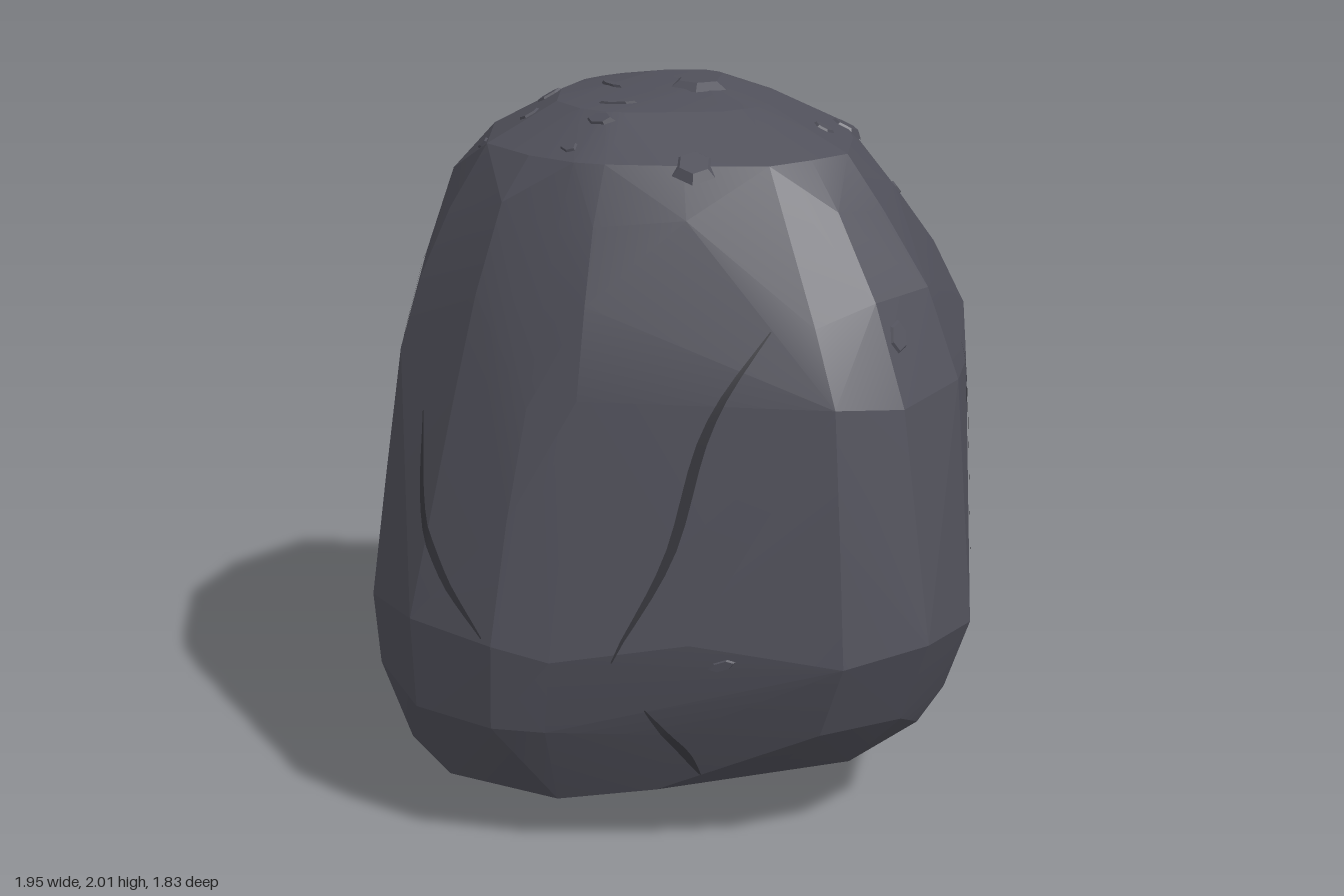
import * as THREE from 'three';
import { toCreasedNormals } from 'three/addons/utils/BufferGeometryUtils.js';
import { ConvexGeometry } from 'three/addons/geometries/ConvexGeometry.js';

const stone = new THREE.MeshStandardMaterial({ color: 0x50505a });
stone.name = 'stone';
const crevice = new THREE.MeshStandardMaterial({ color: 0x36363c, side: THREE.DoubleSide });
crevice.name = 'crevice';

// Plan of the widest section: a diamond with blunt corners, [x, z]
const plan = [
  [0.97, 0], [0.89, 0.24], [0.6, 0.52], [0.33, 0.77], [0.2, 0.86], [-0.07, 0.92], [-0.39, 0.81],
  [-0.73, 0.48], [-0.95, 0.13], [-0.98, -0.08], [-0.91, -0.32], [-0.6, -0.62], [-0.3, -0.87],
  [0.1, -0.92], [0.37, -0.82], [0.64, -0.54], [0.9, -0.25],
];

// Cross-sections from bottom to top: [y, min x, max x, min z, max z, corner fullness]
const sections = [
  [0.38, -0.945, 0.88, -0.90, 0.91, 0],
  [0.62, -0.98, 0.97, -0.91, 0.92, 0],
  [0.92, -0.96, 0.92, -0.90, 0.84, 0.01],
  [1.25, -0.92, 0.86, -0.88, 0.745, 0.03],
  [1.48, -0.82, 0.75, -0.75, 0.665, 0.05],
  [1.70, -0.69, 0.61, -0.58, 0.575, 0.07],
  [1.85, -0.52, 0.51, -0.43, 0.49, 0.08],
  [1.955, -0.34, 0.28, -0.25, 0.33, 0.05],
  [2.00, -0.12, 0.11, -0.14, 0.02, 0],
];

// Lower rim, low at the front and arching up round the back, [x, y, z]
const rim = [
  [0.74, 0.22, 0.05], [0.66, 0.24, 0.25], [0.45, 0.18, 0.5], [0.25, 0.14, 0.68], [-0.07, 0.14, 0.8],
  [-0.35, 0.13, 0.72], [-0.65, 0.13, 0.42], [-0.83, 0.13, 0.12], [-0.85, 0.2, -0.1], [-0.82, 0.31, -0.33],
  [-0.57, 0.35, -0.59], [-0.3, 0.31, -0.8], [0.08, 0.27, -0.83], [0.34, 0.31, -0.74], [0.6, 0.34, -0.5],
  [0.78, 0.28, -0.18],
];
// Foot on which the rock rests
const foot = [
  [-0.5, 0, 0.42], [-0.28, 0.02, 0.56], [-0.5, 0, 0.05], [-0.42, 0.01, -0.2], [-0.72, 0.07, 0.15],
  [0, 0.04, 0.45], [0, 0.05, -0.2],
];

function boulderGeometry() {
  const points = [...rim, ...foot].map((p) => new THREE.Vector3(...p));
  for (const [y, x0, x1, z0, z1, full] of sections) {
    plan.forEach(([px, pz], i) => {
      const swell = 1 + full * (px > 0 && pz > 0 ? 2.5 : 5.2) * Math.abs(px * pz);
      const x = px * (px > 0 ? x1 / 0.97 : x0 / -0.98) * swell;
      const z = pz * (pz > 0 ? z1 / 0.92 : z0 / -0.92) * swell;
      const wobble = y > 0.5 && y < 1.8 ? 0.035 * Math.sin(i * 2.4 + y * 5) : 0;
      points.push(new THREE.Vector3(x, y + wobble, z));
    });
  }
  return toCreasedNormals(new ConvexGeometry(points), 0.16);
}

// Directions from which details are laid on the rock
function look(dx, dy, dz) {
  const out = new THREE.Vector3(dx, dy, dz).normalize();
  const up = dy ? new THREE.Vector3(0, 0, -1) : new THREE.Vector3(0, 1, 0);
  return { out, up, right: new THREE.Vector3().crossVectors(up, out) };
}
const front = look(0, 0, 1), left = look(1, 0, 0);
const top = look(0, 1, 0), backRight = look(-1, 0, -1);

export function createModel() {
  const group = new THREE.Group();
  const boulder = new THREE.Mesh(boulderGeometry(), stone);
  boulder.name = 'boulder';
  group.add(boulder);

  const ray = new THREE.Raycaster();
  function land(side, u, v) {
    const origin = side.out.clone().multiplyScalar(4)
      .addScaledVector(side.right, u).addScaledVector(side.up, v);
    ray.set(origin, side.out.clone().negate());
    const hit = ray.intersectObject(boulder)[0];
    return hit && { point: hit.point, normal: hit.face.normal.clone() };
  }

  // Crack: a thin tapering strip that follows the surface
  function crack(side, path, width) {
    const curve = new THREE.CatmullRomCurve3(path.map(([u, v]) => new THREE.Vector3(u, v, 0)));
    const steps = 14, verts = [], index = [];
    for (let i = 0; i <= steps; i++) {
      const p = curve.getPoint(i / steps), t = curve.getTangent(i / steps);
      const w = width * Math.sin(Math.PI * (0.04 + 0.92 * i / steps)) / 2;
      for (const s of [-1, 1]) {
        const hit = land(side, p.x - t.y * w * s, p.y + t.x * w * s);
        if (!hit) return;
        verts.push(...hit.point.addScaledVector(hit.normal, 0.004).toArray());
      }
      if (i) index.push(2 * i - 2, 2 * i, 2 * i - 1, 2 * i - 1, 2 * i, 2 * i + 1);
    }
    const geometry = new THREE.BufferGeometry();
    geometry.setAttribute('position', new THREE.Float32BufferAttribute(verts, 3));
    geometry.setIndex(index);
    geometry.computeVertexNormals();
    const mesh = new THREE.Mesh(geometry, crevice);
    mesh.name = 'crack';
    group.add(mesh);
  }
  crack(front, [[-0.2, 1.16], [-0.11, 0.93], [0.02, 0.77], [0.17, 0.64]], 0.026);
  crack(front, [[0.63, 1.46], [0.56, 1.2], [0.53, 0.88], [0.45, 0.6]], 0.022);
  crack(front, [[-0.68, 1.45], [-0.58, 1.3], [-0.49, 1.1]], 0.018);
  crack(front, [[0.5, 0.46], [0.54, 0.33], [0.55, 0.24]], 0.02);
  crack(front, [[-0.71, 0.43], [-0.63, 0.24], [-0.52, 0.09]], 0.045);
  crack(left, [[0.5, 1.28], [0.45, 1.02], [0.32, 0.7]], 0.014);
  crack(left, [[0.65, 1.1], [0.7, 1.03], [0.76, 0.97]], 0.025);
  crack(left, [[0.55, 0.54], [0.48, 0.43], [0.42, 0.35]], 0.012);
  crack(backRight, [[-0.22, 1.5], [-0.32, 1.3], [-0.39, 1.1]], 0.02);
  crack(backRight, [[0, 1.38], [0.1, 1.28], [0.2, 1.2]], 0.016);

  // Chips: low faceted flakes sunk into the surface
  function chip(side, u, v, size, stretch = 1) {
    const hit = land(side, u, v);
    const mesh = new THREE.Mesh(
      toCreasedNormals(new THREE.CylinderGeometry(size * 0.65, size, 0.02, 6), 0.3), stone);
    mesh.name = 'chip';
    mesh.scale.x = stretch;
    mesh.position.copy(hit.point).addScaledVector(hit.normal, -0.004);
    mesh.quaternion.setFromUnitVectors(new THREE.Vector3(0, 1, 0), hit.normal);
    mesh.rotateY(u * 9 + v * 5);
    group.add(mesh);
  }
  const topChips = [
    [0.08, 0.0, 0.09], [0.27, 0.38, 0.055], [0.36, 0.2, 0.04], [0.38, 0.47, 0.03], [-0.6, 0.04, 0.035],
    [0.35, -0.27, 0.065], [-0.29, -0.22, 0.05, 0.5], [-0.22, -0.35, 0.04], [-0.31, -0.44, 0.04, 0.6],
    [0.06, -0.34, 0.05, 0.6], [0.05, -0.44, 0.04, 0.7], [-0.12, -0.14, 0.07, 0.2], [0.03, -0.25, 0.07, 0.2],
  ];
  for (const c of topChips) chip(top, ...c);
  chip(left, 0.05, 1.42, 0.06, 0.7);
  chip(front, 0.66, 0.6, 0.05, 0.4);
  return group;
}
